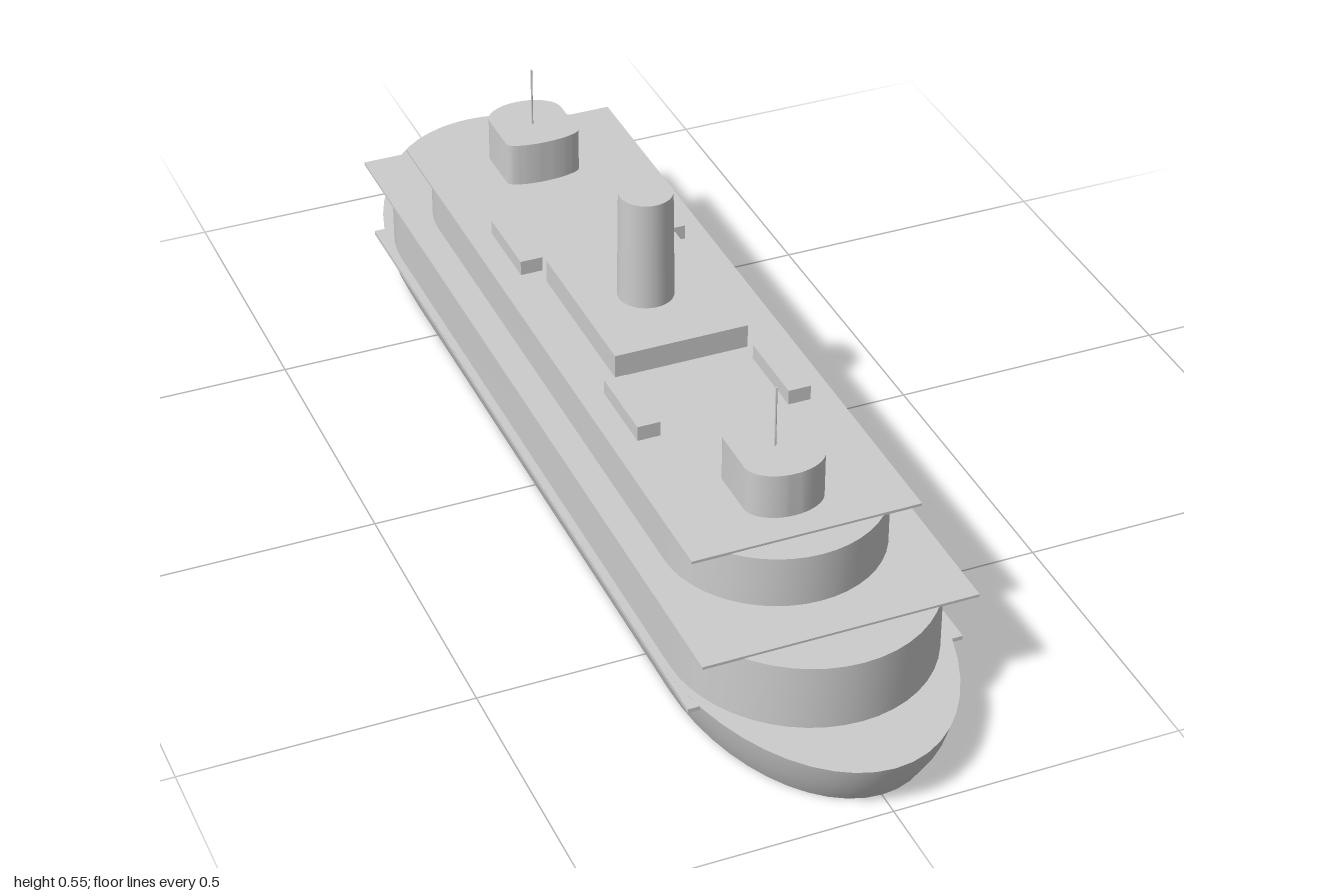
import * as THREE from 'three';
import { toCreasedNormals } from 'three/addons/utils/BufferGeometryUtils.js';

const ARC = 24; // segments on each rounded end

// Plan outline: straight sides at +-w, an elliptical cap on each end
function outline({ w, front, back }) {
  const pts = [];
  for (const [sign, [start, bulge]] of [[1, front], [-1, back]]) {
    for (let i = 0; i <= ARC; i++) {
      const a = (Math.PI * i) / ARC;
      pts.push([sign * w * Math.cos(a), sign * (start + bulge * Math.sin(a))]);
    }
  }
  return pts;
}

// Shell lofted through plan outlines from bottom to top: closed above, open below
function loft(sections) {
  const pos = [], index = [];
  const rings = sections.map(outline);
  const n = rings[0].length;
  rings.forEach((ring, k) => ring.forEach(([x, z]) => pos.push(x, sections[k].y, z)));
  for (let k = 0; k < rings.length - 1; k++) {
    for (let j = 0; j < n; j++) {
      const a = k * n + j, b = k * n + ((j + 1) % n);
      index.push(a, a + n, b, b, a + n, b + n);
    }
  }
  const last = (rings.length - 1) * n;
  const centre = pos.length / 3;
  pos.push(0, sections[sections.length - 1].y, 0);
  for (let j = 0; j < n; j++) index.push(centre, last + ((j + 1) % n), last + j);
  const geo = new THREE.BufferGeometry();
  geo.setAttribute('position', new THREE.Float32BufferAttribute(pos, 3));
  geo.setIndex(index);
  return toCreasedNormals(geo, 0.6);
}

// Section with identical ends
const level = (y, w, start, bulge) => ({ y, w, front: [start, bulge], back: [start, bulge] });

export function createModel() {
  const model = new THREE.Group();
  model.name = 'ferry';
  const grey = new THREE.MeshStandardMaterial({ color: 0xcccccc, side: THREE.DoubleSide });
  grey.name = 'plain grey';

  const add = (name, geo, x = 0, y = 0, z = 0, parent = model) => {
    const mesh = new THREE.Mesh(geo, grey);
    mesh.name = name;
    mesh.position.set(x, y, z);
    parent.add(mesh);
  };
  // Box given by its full width, bottom, top and length
  const slab = (name, w, y0, y1, l, x = 0, z = 0) =>
    add(name, new THREE.BoxGeometry(w, y1 - y0, l), x, (y0 + y1) / 2, z);

  // Double-ended hull, flaring upward and open underneath
  add('hull', loft([
    level(0, 0.207, 0.6, 0.358),
    level(0.043, 0.226, 0.6, 0.385),
    level(0.087, 0.237, 0.6, 0.4),
  ]));

  // Cabins with rounded ends and their overhanging decks
  slab('mainDeck', 0.478, 0.079, 0.0865, 1.5);
  add('lowerCabin', loft([level(0.087, 0.224, 0.64, 0.24), level(0.204, 0.224, 0.64, 0.24)]));
  slab('middleDeck', 0.474, 0.203, 0.208, 1.6);
  add('upperCabin', loft([level(0.208, 0.187, 0.53, 0.19), level(0.3, 0.187, 0.53, 0.19)]));
  slab('topDeck', 0.396, 0.299, 0.304, 1.33);

  // Deckhouse and funnel
  slab('deckhouse', 0.24, 0.304, 0.347, 0.315);
  add('funnel', new THREE.CylinderGeometry(0.0465, 0.049, 0.202, 32), 0, 0.447, 0);

  // Pilothouse and mast at each end
  const houseEnds = { w: 0.069, front: [0.035, 0.047], back: [0.05, 0.02] };
  const houseGeo = loft([{ y: 0.303, ...houseEnds }, { y: 0.385, ...houseEnds }]);
  for (const s of [1, -1]) {
    const house = new THREE.Group();
    house.name = s > 0 ? 'frontPilothouse' : 'rearPilothouse';
    add('pilothouse', houseGeo, 0, 0, 0.535, house);
    add('mast', new THREE.CylinderGeometry(0.0018, 0.0018, 0.112, 8), 0, 0.44, 0.535, house);
    house.rotation.y = s > 0 ? 0 : Math.PI;
    model.add(house);

    // Lockers along both sides
    for (const side of [1, -1]) {
      slab('deckLocker', 0.04, 0.304, 0.331, 0.145, side * 0.134, s * 0.265);
    }
  }
  return model;
}
